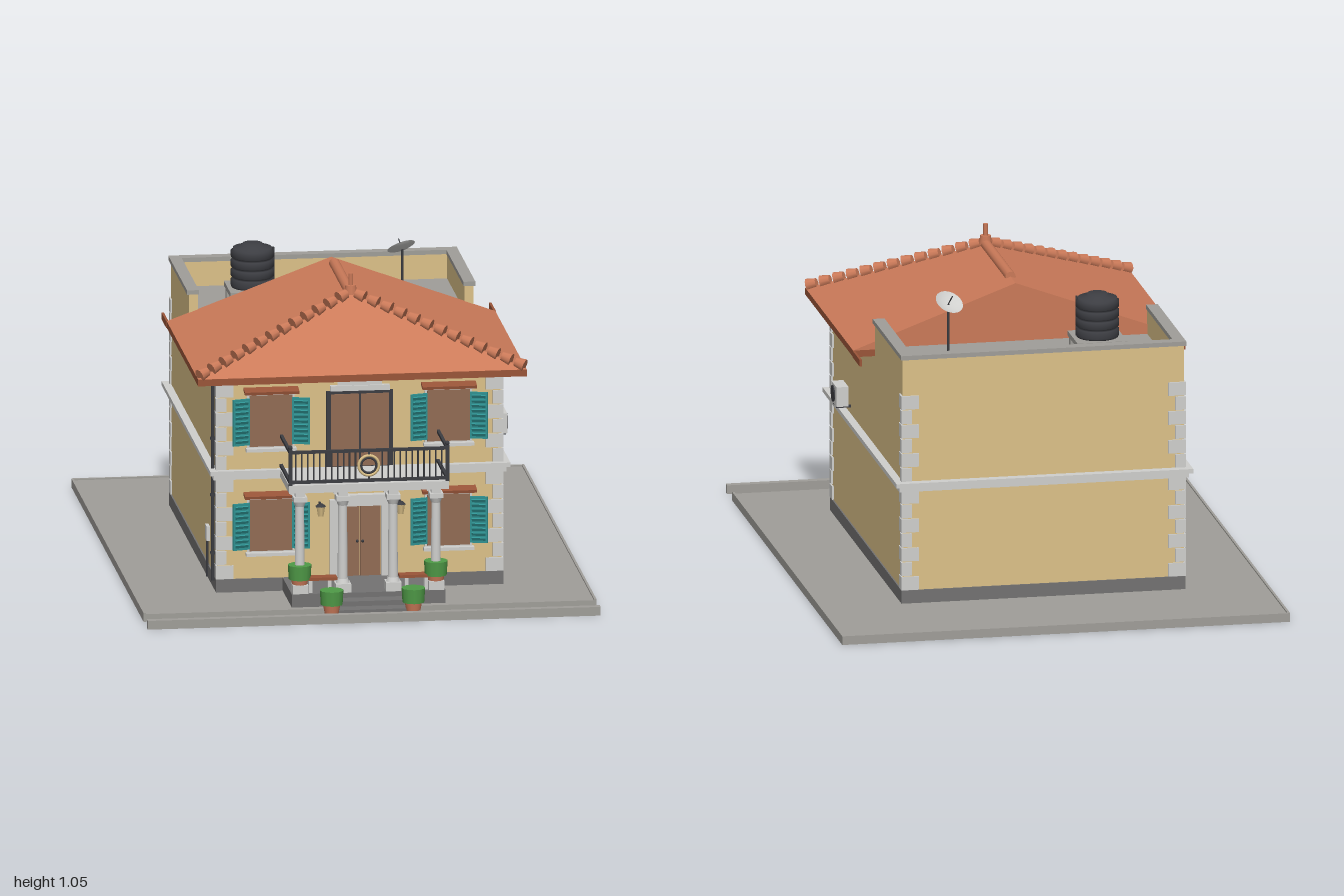
import * as THREE from 'three';

const mat = (name, color, side = THREE.FrontSide) => {
  const m = new THREE.MeshStandardMaterial({ color, side });
  m.name = name;
  return m;
};

export function createModel() {
  const root = new THREE.Group();
  root.name = 'villa';
  const concrete = mat('concrete', 0xa09e99);
  const darkStone = mat('darkStone', 0x737272);
  const plaster = mat('plaster', 0xdcc188);
  const stone = mat('lightStone', 0xcfcfcd, THREE.DoubleSide);
  const tile = mat('terracotta', 0xcb7a59);
  const wood = mat('wood', 0x916c54);
  const redBrown = mat('redBrown', 0x9a5539);
  const teal = mat('teal', 0x2f9292);
  const dark = mat('darkMetal', 0x3c3d42);
  const green = mat('green', 0x4f9a47);

  const add = (name, geo, m, x = 0, y = 0, z = 0, parent = root) => {
    const mesh = new THREE.Mesh(geo, m);
    mesh.name = name;
    mesh.position.set(x, y, z);
    parent.add(mesh);
    return mesh;
  };
  // box from min / max limits
  const box = (name, m, x0, x1, y0, y1, z0, z1, parent = root) =>
    add(name, new THREE.BoxGeometry(x1 - x0, y1 - y0, z1 - z0), m,
      (x0 + x1) / 2, (y0 + y1) / 2, (z0 + z1) / 2, parent);
  const cyl = (name, m, rt, rb, y0, y1, x, z, n = 16) =>
    add(name, new THREE.CylinderGeometry(rt, rb, y1 - y0, n), m, x, (y0 + y1) / 2, z);

  // ground slab and kerbs
  box('ground', concrete, -0.757, 0.757, 0, 0.025, -0.99, 0.885);
  box('backKerb', concrete, -0.765, 0.765, 0, 0.03, -1, -0.99);
  for (const s of [-1, 1]) box('sideKerb', concrete, s * 0.761 - 0.004, s * 0.761 + 0.004, 0, 0.03, -0.99, 0.89);
  box('frontKerb', concrete, -0.765, 0.765, 0, 0.03, 0.975, 1);

  // walls, plinth and storey band
  box('plinth', darkStone, -0.485, 0.485, 0.02, 0.07, -0.61, 0.62);
  box('walls', plaster, -0.48, 0.48, 0.07, 0.775, -0.605, 0.615);
  box('bandLower', stone, -0.495, 0.495, 0.415, 0.432, -0.622, 0.628);
  box('bandUpper', stone, -0.507, 0.507, 0.432, 0.447, -0.635, 0.638);

  // corner quoins with alternating lengths
  for (const sx of [-1, 1]) for (const sz of [-1, 1]) for (let i = 0; i < 13; i++) {
    const y = i < 7 ? 0.07 + i * 0.05 : 0.447 + (i - 7) * 0.05;
    const w = i % 2 ? 0.036 : 0.06, d = i % 2 ? 0.026 : 0.044;
    add('quoin', new THREE.BoxGeometry(w, 0.046, d), stone,
      sx * (0.486 - w / 2), y + 0.024, 0.005 + sz * (0.616 - d / 2));
  }

  // roof terrace with parapet
  box('terraceFloor', concrete, -0.45, 0.45, 0.77, 0.785, -0.58, -0.12);
  box('backParapet', plaster, -0.48, 0.48, 0.775, 0.87, -0.605, -0.58);
  box('backCoping', concrete, -0.487, 0.487, 0.87, 0.885, -0.614, -0.575);
  for (const s of [-1, 1]) {
    box('sideParapet', plaster, s * 0.465 - 0.015, s * 0.465 + 0.015, 0.775, 0.87, -0.58, -0.125);
    box('sideCoping', concrete, s * 0.467 - 0.02, s * 0.467 + 0.02, 0.87, 0.885, -0.575, -0.125);
  }

  // hipped roof with closed back gable
  const [A, B, C, D, E, F] = [[-0.555, 0.78, 0.69], [0.555, 0.78, 0.69], [0, 0.985, 0.385],
    [0, 0.985, -0.13], [-0.555, 0.78, -0.13], [0.555, 0.78, -0.13]];
  const roof = new THREE.BufferGeometry();
  roof.setAttribute('position', new THREE.Float32BufferAttribute(
    [A, B, C, B, F, D, B, D, C, E, A, C, E, C, D, F, E, D].flat(), 3));
  roof.computeVertexNormals();
  add('roof', roof, tile);
  box('eaves', redBrown, -0.555, 0.555, 0.757, 0.78, -0.13, 0.692);
  for (const s of [-1, 1]) box('eaveBoard', redBrown, s * 0.553 - 0.004, s * 0.553 + 0.004, 0.757, 0.78, -0.25, -0.13);
  add('ridgeTile', new THREE.CylinderGeometry(0.018, 0.018, 0.43, 12), tile, 0, 0.984, 0.17).rotation.x = Math.PI / 2;
  for (const s of [-1, 1]) {
    const a = new THREE.Vector3(s * 0.535, 0.793, 0.675), b = new THREE.Vector3(s * 0.03, 0.978, 0.4);
    const dir = b.clone().sub(a).normalize();
    for (let i = 0; i < 13; i++) {
      const p = a.clone().lerp(b, i / 12);
      add('hipTile', new THREE.CylinderGeometry(0.016, 0.022, 0.034, 10), tile, p.x, p.y + 0.004, p.z)
        .quaternion.setFromUnitVectors(new THREE.Vector3(0, 1, 0), dir);
    }
  }
  cyl('finialBase', tile, 0.018, 0.022, 0.985, 1.015, 0, 0.385, 10);
  cyl('finial', tile, 0.008, 0.008, 1.01, 1.055, 0, 0.385, 10);

  // windows with sills, awnings and open louvred shutters
  for (const cx of [-0.3, 0.3]) for (const y of [0.165, 0.525]) {
    box('windowFrame', stone, cx - 0.08, cx + 0.08, y - 0.005, y + 0.185, 0.612, 0.618);
    box('windowPane', wood, cx - 0.072, cx + 0.072, y, y + 0.178, 0.616, 0.622);
    box('sill', stone, cx - 0.085, cx + 0.085, y - 0.015, y - 0.004, 0.612, 0.64);
    box('lintel', stone, cx - 0.085, cx + 0.085, y + 0.18, y + 0.19, 0.612, 0.635);
    box('awning', redBrown, cx - 0.092, cx + 0.092, y + 0.19, y + 0.2, 0.612, 0.655).rotation.x = 0.2;
    for (const s of [-1, 1]) {
      const shutter = new THREE.Group();
      shutter.name = 'shutter';
      shutter.position.set(cx + s * 0.072, y + 0.087, 0.622);
      shutter.rotation.y = -s * 0.25;
      root.add(shutter);
      add('shutterPanel', new THREE.BoxGeometry(0.06, 0.16, 0.007), teal, s * 0.03, 0, 0, shutter);
      for (let k = 0; k < 9; k++)
        add('louvre', new THREE.BoxGeometry(0.046, 0.011, 0.005), teal, s * 0.03, -0.066 + k * 0.0165, 0.004, shutter).rotation.x = 0.5;
    }
  }

  // balcony door
  box('balconyDoorFrame', dark, -0.113, 0.113, 0.445, 0.708, 0.612, 0.622);
  for (const s of [-1, 1]) box('balconyDoorLeaf', wood, s * 0.051 - 0.047, s * 0.051 + 0.047, 0.45, 0.698, 0.618, 0.626);
  box('balconyLintel', stone, -0.1, 0.1, 0.71, 0.728, 0.612, 0.632);
  box('balconyCrown', stone, -0.075, 0.075, 0.728, 0.75, 0.612, 0.626);

  // entrance door and surround
  for (const s of [-1, 1]) {
    box('doorJamb', stone, s * 0.087 - 0.015, s * 0.087 + 0.015, 0.07, 0.315, 0.612, 0.632);
    box('doorLeaf', wood, s * 0.036 - 0.0345, s * 0.036 + 0.0345, 0.07, 0.31, 0.612, 0.624);
    add('doorHandle', new THREE.SphereGeometry(0.005, 8, 6), dark, s * 0.009, 0.19, 0.627);
  }
  box('doorHead', stone, -0.102, 0.102, 0.312, 0.335, 0.612, 0.634);
  box('doorCornice', stone, -0.085, 0.085, 0.335, 0.352, 0.612, 0.642);

  // wall lamps
  for (const s of [-1, 1]) {
    cyl('lamp', plaster, 0.016, 0.01, 0.285, 0.318, s * 0.135, 0.645, 6);
    cyl('lampCap', dark, 0.01, 0.019, 0.318, 0.326, s * 0.135, 0.645, 6);
    box('lampArm', dark, s * 0.135 - 0.003, s * 0.135 + 0.003, 0.322, 0.328, 0.612, 0.645);
  }

  // porch platform, steps and cheeks
  box('porch', darkStone, -0.26, 0.26, 0.02, 0.07, 0.615, 0.857);
  box('upperStep', darkStone, -0.12, 0.12, 0, 0.053, 0.857, 0.91);
  box('lowerStep', darkStone, -0.12, 0.12, 0, 0.036, 0.91, 0.96);
  for (const s of [-1, 1]) box('stepCheek', darkStone, s * 0.138 - 0.016, s * 0.138 + 0.016, 0, 0.03, 0.857, 0.975);

  // columns, porch seats and potted shrubs
  for (const s of [-1, 1]) {
    for (const x of [s * 0.085, s * 0.23]) {
      box('columnBase', stone, x - 0.026, x + 0.026, 0.07, 0.1, 0.804, 0.856);
      cyl('columnFoot', stone, 0.018, 0.023, 0.1, 0.115, x, 0.83);
      cyl('columnShaft', stone, 0.015, 0.017, 0.115, 0.372, x, 0.83);
      cyl('columnNeck', stone, 0.023, 0.016, 0.368, 0.386, x, 0.83);
      box('columnCapital', stone, x - 0.023, x + 0.023, 0.386, 0.402, 0.806, 0.854);
      box('columnCap', stone, x - 0.016, x + 0.016, 0.402, 0.422, 0.814, 0.846);
      box('bracket', stone, x - 0.014, x + 0.014, 0.375, 0.422, 0.612, 0.705);
    }
    box('seat', redBrown, s * 0.165 - 0.06, s * 0.165 + 0.06, 0.113, 0.123, 0.81, 0.85);
    for (const x of [0.13, 0.195]) box('seatLeg', stone, s * x - 0.006, s * x + 0.006, 0.07, 0.113, 0.815, 0.845);
    for (const [x, y, z] of [[0.23, 0.072, 0.83], [0.138, 0.012, 0.955]]) {
      cyl('pot', tile, 0.03, 0.021, y, y + 0.048, s * x, z);
      cyl('shrub', green, 0.04, 0.037, y + 0.045, y + 0.094, s * x, z, 12);
    }
  }

  // balcony slab and railing
  box('balconySlab', stone, -0.27, 0.27, 0.42, 0.447, 0.61, 0.865);
  for (const y of [0.457, 0.56]) {
    box('frontRail', dark, -0.268, 0.268, y - 0.005, y + 0.005, 0.853, 0.863);
    for (const s of [-1, 1]) box('sideRail', dark, s * 0.265 - 0.005, s * 0.265 + 0.005, y - 0.005, y + 0.005, 0.615, 0.858);
  }
  for (const s of [-1, 1]) {
    box('cornerPost', dark, s * 0.265 - 0.006, s * 0.265 + 0.006, 0.445, 0.572, 0.852, 0.864);
    add('postBall', new THREE.SphereGeometry(0.008, 10, 8), dark, s * 0.265, 0.577, 0.858);
    for (let i = 0; i < 11; i++) cyl('baluster', dark, 0.0028, 0.0028, 0.455, 0.56, s * (0.045 + i * 0.0202), 0.858, 6);
  }
  add('railRing', new THREE.TorusGeometry(0.034, 0.005, 8, 24), plaster, 0, 0.508, 0.858);
  add('railInnerRing', new THREE.TorusGeometry(0.026, 0.004, 8, 24), dark, 0, 0.508, 0.858);
  for (const y of [0.466, 0.55]) box('ringStem', dark, -0.003, 0.003, y - 0.011, y + 0.011, 0.855, 0.861);

  // air conditioner on the left wall
  box('airConditioner', stone, 0.492, 0.533, 0.478, 0.546, 0.265, 0.355);
  add('fan', new THREE.CylinderGeometry(0.028, 0.028, 0.006, 20), dark, 0.534, 0.512, 0.318).rotation.z = Math.PI / 2;
  for (const z of [0.285, 0.335]) box('conditionerBracket', dark, 0.478, 0.53, 0.47, 0.478, z - 0.004, z + 0.004);

  // drainpipe and meter on the right wall
  cyl('drainpipe', dark, 0.006, 0.006, 0.06, 0.757, -0.492, 0.585, 8);
  for (const y of [0.155, 0.355, 0.55, 0.74]) box('pipeClip', dark, -0.5, -0.478, y - 0.004, y + 0.004, 0.576, 0.594);
  box('meterBox', stone, -0.492, -0.478, 0.155, 0.205, 0.38, 0.42);
  cyl('meterPipe', dark, 0.004, 0.004, 0.03, 0.155, -0.488, 0.41, 6);

  // ribbed water tank on a stand
  box('tankStand', concrete, -0.325, -0.155, 0.825, 0.842, -0.415, -0.242);
  for (const x of [-0.31, -0.17]) for (const z of [-0.4, -0.257])
    box('standLeg', concrete, x - 0.01, x + 0.01, 0.78, 0.825, z - 0.01, z + 0.01);
  const profile = [[0, 0], [0.07, 0]];
  for (let i = 0; i < 4; i++) profile.push([0.073, 0.006 + i * 0.033], [0.073, 0.026 + i * 0.033], [0.066, 0.029 + i * 0.033], [0.066, 0.036 + i * 0.033]);
  profile.push([0.035, 0.142], [0.033, 0.15], [0, 0.15]);
  add('waterTank', new THREE.LatheGeometry(profile.map(p => new THREE.Vector2(...p)), 28), dark, -0.24, 0.842, -0.328);
  cyl('tankPipe', dark, 0.004, 0.004, 0.785, 0.98, -0.172, -0.31, 6);

  // satellite dish
  cyl('dishPost', dark, 0.004, 0.004, 0.785, 0.965, 0.26, -0.28, 8);
  const dish = new THREE.Group();
  dish.name = 'dish';
  dish.position.set(0.26, 0.965, -0.28);
  dish.quaternion.setFromUnitVectors(new THREE.Vector3(0, 1, 0), new THREE.Vector3(-0.25, 0.8, -0.52).normalize());
  root.add(dish);
  add('dishBowl', new THREE.SphereGeometry(0.11, 24, 6, 0, Math.PI * 2, Math.PI - 0.46, 0.46), stone, 0, 0.11, 0, dish);
  add('dishFeed', new THREE.CylinderGeometry(0.002, 0.002, 0.04, 6), dark, 0, 0.02, 0, dish);
  return root;
}
